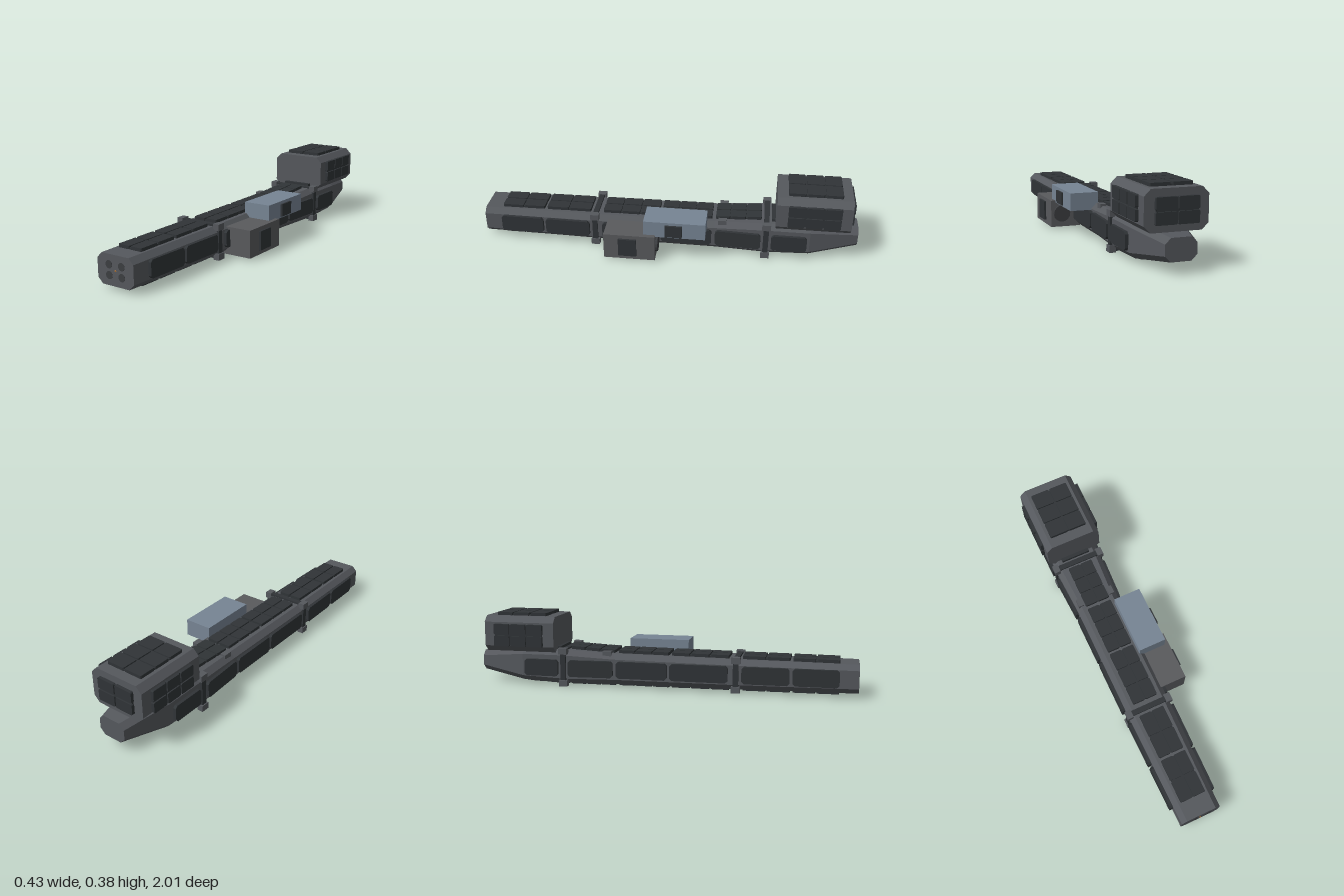
import * as THREE from 'three';

const CX = -0.048; // hull centre line
const mat = (color) => new THREE.MeshStandardMaterial({ color, flatShading: true });

// hull stations: z, half width, bottom, top
const STATIONS = [
  [1, 0.106, 0.022, 0.168], [0.4, 0.115, 0.018, 0.172], [-0.25, 0.117, 0.016, 0.178],
  [-0.52, 0.13, 0.013, 0.192], [-0.75, 0.13, 0.022, 0.192], [-1, 0.075, 0.06, 0.165],
];

function hullAt(z) {
  let i = 0;
  while (i < STATIONS.length - 2 && z < STATIONS[i + 1][0]) i++;
  const a = STATIONS[i], b = STATIONS[i + 1], t = (z - a[0]) / (b[0] - a[0]);
  const [w, y0, y1] = [1, 2, 3].map((k) => a[k] + (b[k] - a[k]) * t);
  const [sw, s0, s1] = [1, 2, 3].map((k) => (b[k] - a[k]) / (b[0] - a[0]));
  return { w, y0, y1, sw, s0, s1 };
}

// chamfered rectangle outline, counter-clockwise
function octagon(w, h, c) {
  return [[w, -h + c], [w, h - c], [w - c, h], [-w + c, h], [-w, h - c], [-w, -h + c], [-w + c, -h], [w - c, -h]];
}

// skin a row of 8-sided sections and cap both ends
function loft(sections) {
  const pos = [], idx = [];
  sections.forEach(([z, w, y0, y1, c = 0.027]) => {
    octagon(w, (y1 - y0) / 2, c).forEach(([x, y]) => pos.push(x, y + (y0 + y1) / 2, z));
  });
  const last = (sections.length - 1) * 8;
  for (let s = 0; s < last; s += 8) {
    for (let k = 0; k < 8; k++) {
      const a = s + k, b = s + (k + 1) % 8;
      idx.push(a, a + 8, b, b, a + 8, b + 8);
    }
  }
  for (let k = 1; k < 7; k++) idx.push(0, k, k + 1, last, last + k + 1, last + k);
  const g = new THREE.BufferGeometry();
  g.setAttribute('position', new THREE.Float32BufferAttribute(pos, 3));
  g.setIndex(idx);
  const flat = g.toNonIndexed();
  flat.computeVertexNormals();
  return flat;
}

export function createModel() {
  const root = new THREE.Group();
  const hullMat = mat(0x55585d), podMat = mat(0x595a5d), blueMat = mat(0x778594);
  const panelMat = mat(0x303437), discMat = mat(0x3c3e41), glowMat = mat(0xc07a35);

  const add = (name, geo, material, x = 0, y = 0, z = 0, parent = root) => {
    const m = new THREE.Mesh(geo, material);
    m.name = name;
    m.position.set(x, y, z);
    parent.add(m);
    return m;
  };
  const box = (name, material, x0, x1, y0, y1, z0, z1) =>
    add(name, new THREE.BoxGeometry(x1 - x0, y1 - y0, z1 - z0), material, (x0 + x1) / 2, (y0 + y1) / 2, (z0 + z1) / 2);

  // armour panel: thin backing with a grid of raised plates, facing along normal n
  const panel = (name, w, h, cols, rows, p, n, t = 0.016, c = 0.004) => {
    const g = new THREE.Group();
    g.name = name;
    const plate = (pw, ph, depth, x, y) => {
      const shape = new THREE.Shape(octagon(pw / 2, ph / 2, c).map((v) => new THREE.Vector2(...v)));
      add(name + 'Plate', new THREE.ExtrudeGeometry(shape, { depth: depth + 0.004, bevelEnabled: false }), panelMat, x, y, -0.004, g);
    };
    const gap = 0.007, cw = (w + gap) / cols, ch = (h + gap) / rows;
    if (cols * rows > 1) plate(w - 0.006, h - 0.006, t * 0.5, 0, 0);
    for (let i = 0; i < cols; i++) {
      for (let j = 0; j < rows; j++) {
        plate(cw - gap, ch - gap, t, (i - (cols - 1) / 2) * cw, (j - (rows - 1) / 2) * ch);
      }
    }
    g.position.set(...p);
    g.lookAt(p[0] + n[0], p[1] + n[1], p[2] + n[2]);
    root.add(g);
  };

  // main hull
  add('hull', loft(STATIONS), hullMat, CX);

  // hull armour rows: front z, back z, plate rows, top panel present
  const ROWS = [
    [0.905, 0.675, 2, true], [0.66, 0.42, 2, true], [0.35, 0.05, 3, true],
    [0.035, -0.235, 3, true], [-0.255, -0.495, 3, true], [-0.55, -0.735, 2, false],
  ];
  for (const [z0, z1, rows, top] of ROWS) {
    const z = (z0 + z1) / 2, len = z0 - z1, h = hullAt(z);
    if (top) panel('topPanel', 0.136, len, 2, rows, [CX, h.y1, z], [0, 1, -h.s1]);
    panel('bottomPanel', 0.136, len, 2, rows, [CX, h.y0, z], [0, -1, h.s0], 0.011);
    for (const s of [1, -1]) {
      panel('sidePanel', len, 0.088, 1, 1, [CX + s * h.w, 0.098, z], [s, 0, -h.sw], 0.016, 0.012);
    }
  }

  // frames around the hull: corner blocks joined by bars
  for (const [z, w, y0, y1] of [[0.39, 0.128, 0.004, 0.188], [-0.522, 0.145, 0.001, 0.205]]) {
    const b = 0.033, d = 0.022;
    for (const s of [1, -1]) {
      for (const y of [y0 + b / 2, y1 - b / 2]) {
        add('frameCorner', new THREE.BoxGeometry(b, b, 0.045), hullMat, CX + s * (w - b / 2), y, z);
      }
      add('frameSideBar', new THREE.BoxGeometry(d, y1 - y0 - b, 0.028), panelMat, CX + s * (w - b / 2), (y0 + y1) / 2, z);
    }
    for (const y of [y0 + b / 2, y1 - b / 2]) {
      add('frameCrossBar', new THREE.BoxGeometry(2 * w - b, d, 0.028), panelMat, CX, y, z);
    }
  }
  // small blocks on the top edges
  for (const s of [1, -1]) {
    add('edgeBlock', new THREE.BoxGeometry(0.03, 0.03, 0.045), hullMat, CX + s * 0.09, 0.176, -0.29);
  }
  // plate at the foot of the bridge
  box('bridgeFootPlate', panelMat, CX - 0.08, CX + 0.08, 0.185, 0.207, -0.568, -0.548);

  // bridge block with armour
  add('bridge', loft([[-0.567, 0.151, 0.178, 0.367, 0.031], [-0.95, 0.151, 0.178, 0.367, 0.031]]), hullMat, CX);
  panel('bridgeTopPanel', 0.204, 0.275, 2, 3, [CX, 0.367, -0.76], [0, 1, 0]);
  panel('bridgeBackPanel', 0.204, 0.12, 2, 2, [CX, 0.272, -0.95], [0, 0, -1]);
  for (const s of [1, -1]) {
    panel('bridgeSidePanel', 0.268, 0.118, 3, 2, [CX + s * 0.151, s > 0 ? 0.278 : 0.268, -0.76], [s, 0, 0]);
  }

  // left side pods
  box('lowerPod', podMat, 0.04, 0.203, 0.012, 0.155, 0.05, 0.32);
  panel('lowerPodPanel', 0.095, 0.1, 1, 1, [0.203, 0.085, 0.194], [1, 0, 0], 0.011, 0.001);
  const nozzle = add('lowerPodNozzle', new THREE.CylinderGeometry(0.045, 0.045, 0.016, 16), discMat, 0.145, 0.085, 0.046);
  nozzle.rotation.x = Math.PI / 2;
  box('upperPod', blueMat, 0.032, 0.18, 0.145, 0.235, -0.21, 0.112);
  panel('upperPodPanel', 0.09, 0.066, 1, 1, [0.18, 0.187, -0.045], [1, 0, 0], 0.01, 0.001);

  // front ports and centre light
  for (const sx of [1, -1]) {
    for (const sy of [1, -1]) {
      const port = add('frontPort', new THREE.CylinderGeometry(0.019, 0.019, 0.008, 20), discMat, CX + sx * 0.037, 0.095 + sy * 0.025, 0.998);
      port.rotation.x = Math.PI / 2;
    }
  }
  add('frontLight', new THREE.OctahedronGeometry(0.009), glowMat, CX, 0.095, 0.997);

  return root;
}
